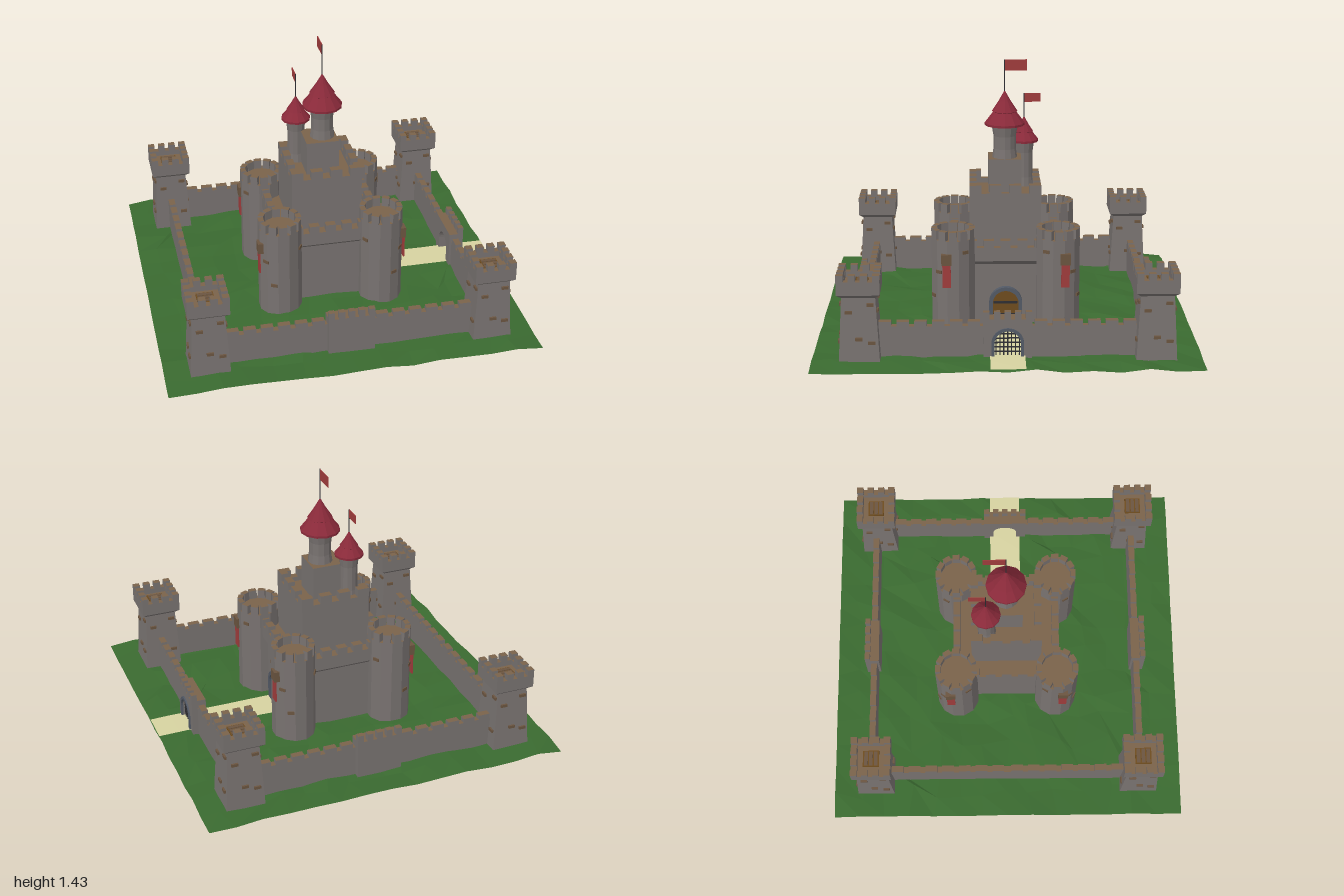
import * as THREE from 'three';

const mat = (color, extra = {}) => new THREE.MeshStandardMaterial({ color, flatShading: true, ...extra });
const stone = mat(0x787270), cap = mat(0x7a624a), brick = mat(0x6b5540), wood = mat(0x6e4c1e);
const trim = mat(0x535a66), iron = mat(0x2e2e33);
const grass = mat(0x3a6a30, { side: THREE.DoubleSide }), sand = mat(0xd6d2a0, { side: THREE.DoubleSide });
const roofRed = mat(0x8a2a3a, { side: THREE.DoubleSide }), cloth = mat(0xa03c3c, { side: THREE.DoubleSide });
const boxStone = [stone, stone, cap, stone, stone, stone];
const drumStone = [stone, cap, stone];

function add(parent, name, geometry, material, x = 0, y = 0, z = 0) {
  const m = new THREE.Mesh(geometry, material);
  m.name = name;
  m.position.set(x, y, z);
  parent.add(m);
  return m;
}

function group(parent, name, x = 0, z = 0) {
  const g = new THREE.Group();
  g.name = name;
  g.position.set(x, 0, z);
  parent.add(g);
  return g;
}

// Box spanning y0..y1, brown on top when made of stone
function block(parent, name, w, d, y0, y1, x = 0, z = 0, material = boxStone) {
  return add(parent, name, new THREE.BoxGeometry(w, y1 - y0, d), material, x, (y0 + y1) / 2, z);
}

// Drum or, with 4 sides, a tapering square shaft
function drum(parent, name, rBottom, rTop, y0, y1, sides = 12, x = 0, z = 0) {
  const k = sides === 4 ? Math.SQRT2 : 1;
  const g = new THREE.CylinderGeometry(rTop * k, rBottom * k, y1 - y0, sides).rotateY(Math.PI / sides);
  return add(parent, name, g, drumStone, x, (y0 + y1) / 2, z);
}

// Square parapet: four low walls with n merlons a side
function parapet(parent, half, t, y0, y1, y2, n, fill) {
  for (let s = 0; s < 4; s++) {
    const side = group(parent, 'parapet');
    side.rotation.y = s * Math.PI / 2;
    block(side, 'parapetWall', 2 * half - t, t, y0, y1, -t / 2, half - t / 2);
    const w = 2 * half / (n - 1 + fill) * fill;
    const step = (2 * half - w) / (n - 1);
    for (let i = 0; i < n; i++) {
      block(side, 'merlon', w, t, y1, y2, -half + w / 2 + i * step, half - t / 2);
    }
  }
}

// Straight row of merlons along x
function merlonRow(parent, x0, x1, z, t, y0, y1, n, fill) {
  const w = (x1 - x0) / (n - 1 + fill) * fill, step = (x1 - x0 - w) / (n - 1);
  for (let i = 0; i < n; i++) block(parent, 'merlon', w, t, y0, y1, x0 + w / 2 + i * step, z);
}

// Uneven ground sheet
function sheet(w, d, nx, nz, y, amp) {
  const g = new THREE.PlaneGeometry(w, d, nx, nz).rotateX(-Math.PI / 2);
  const p = g.attributes.position;
  let seed = 7;
  const rnd = () => (seed = (seed * 16807) % 2147483647) / 2147483647;
  for (let i = 0; i < p.count; i++) {
    const x = p.getX(i), z = p.getZ(i);
    p.setY(i, y + (rnd() - 0.5) * amp);
    if (nx > 8 && Math.abs(x) < w / 2 - 0.01 && Math.abs(z) < d / 2 - 0.01) {
      p.setX(i, x + (rnd() - 0.5) * 0.1);
      p.setZ(i, z + (rnd() - 0.5) * 0.1);
    }
  }
  return g;
}

function archShape(r, spring, T = THREE.Shape) {
  const s = new T();
  s.moveTo(-r, 0);
  s.lineTo(r, 0);
  s.lineTo(r, spring);
  s.absarc(0, spring, r, 0, Math.PI, false);
  s.lineTo(-r, 0);
  return s;
}

// Arched stone frame lying in the local xy plane
function archTrim(parent, r, spring, width, depth, y, z) {
  const s = archShape(r + width, spring);
  s.holes.push(archShape(r, spring, THREE.Path));
  add(parent, 'archTrim', new THREE.ExtrudeGeometry(s, { depth, bevelEnabled: false, curveSegments: 8 }), trim, 0, y, z);
}

function cornerTower(parent, x, z) {
  const t = group(parent, 'cornerTower', x, z);
  drum(t, 'shaft', 0.105, 0.085, 0.01, 0.375, 4);
  drum(t, 'corbel', 0.086, 0.11, 0.355, 0.375, 4);
  block(t, 'towerHead', 0.22, 0.22, 0.375, 0.415);
  parapet(t, 0.11, 0.035, 0.415, 0.445, 0.48, 4, 0.6);
  block(t, 'hatch', 0.09, 0.09, 0.415, 0.424, 0, 0, wood);
  for (let i = -1; i <= 1; i++) block(t, 'hatchPlank', 0.08, 0.02, 0.424, 0.428, 0, i * 0.027, brick);
  // Odd stones standing proud of each face
  for (let s = 0; s < 4; s++) {
    const face = group(t, 'faceStones');
    face.rotation.y = s * Math.PI / 2;
    for (const [u, y] of [[0.06, 0.32], [-0.05, 0.28], [0.0, 0.14], [0.065, 0.12]]) {
      block(face, 'proudStone', 0.036, 0.02, y - 0.008, y + 0.008, u, 0.105 - 0.02 * y / 0.375, brick);
    }
  }
}

// Curtain wall running along local x
function curtainWall(parent, name, x, z, turn, middle) {
  const w = group(parent, name, x, z);
  w.rotation.y = turn;
  const inner = middle ? 0.12 : 0;
  for (const s of [-1, 1]) {
    block(w, 'wall', 0.69 - inner, 0.035, 0.005, 0.18, s * (0.69 + inner) / 2, 0);
    const a = inner + 0.02, b = 0.66;
    merlonRow(w, s < 0 ? -b : a, s < 0 ? -a : b, 0, 0.035, 0.18, 0.205, middle ? 6 : 7, 0.7);
  }
  if (middle === 'bastion') block(w, 'bastion', 0.25, 0.08, 0.005, 0.225, 0, 0.01);
  if (middle === 'gate') {
    const s = new THREE.Shape([[-0.125, 0], [0.125, 0], [0.125, 0.21], [-0.125, 0.21]].map(p => new THREE.Vector2(...p)));
    s.holes.push(archShape(0.07, 0.085, THREE.Path));
    add(w, 'gatehouse', new THREE.ExtrudeGeometry(s, { depth: 0.08, bevelEnabled: false, curveSegments: 8 }), stone, 0, 0.01, -0.03);
    block(w, 'gateTop', 0.25, 0.08, 0.22, 0.226, 0, 0.01);
    archTrim(w, 0.068, 0.085, 0.016, 0.012, 0.01, 0.046);
    for (let i = -3; i <= 3; i++) {
      const top = 0.095 + Math.sqrt(0.07 ** 2 - (i * 0.02) ** 2);
      block(w, 'portcullisBar', 0.006, 0.006, 0.02, top, i * 0.02, 0.035, iron);
    }
    for (let j = 0; j < 5; j++) block(w, 'portcullisRail', j < 4 ? 0.138 : 0.1, 0.006, 0.045 + j * 0.024, 0.051 + j * 0.024, 0, 0.035, iron);
  }
  if (middle) merlonRow(w, -0.125, 0.125, 0.035, 0.03, 0.225, 0.265, 5, 0.6);
}

function keepTower(parent, sx, sz) {
  const t = group(parent, 'keepTower', sx * 0.283, sz * 0.283);
  drum(t, 'drum', 0.12, 0.12, 0.01, 0.515);
  for (let i = 0; i < 12; i++) {
    const a = i * Math.PI / 6;
    const m = block(t, 'merlon', 0.042, 0.03, 0.515, 0.565, Math.sin(a) * 0.102, Math.cos(a) * 0.102);
    m.rotation.y = a;
  }
  // Banner hanging from a timber bracket
  block(t, 'bannerBracket', 0.03, 0.055, 0.385, 0.445, sx * 0.115, sz * 0.035, brick);
  block(t, 'banner', 0.008, 0.045, 0.26, 0.385, sx * 0.121, sz * 0.035, cloth);
  for (const [a, y] of [[-0.6, 0.45], [0.7, 0.34], [2.6, 0.4], [-2, 0.3], [1.1, 0.2]]) {
    const m = block(t, 'proudStone', 0.036, 0.02, y - 0.009, y + 0.009, sx * Math.cos(a) * 0.112, sz * Math.sin(a) * 0.112, brick);
    m.rotation.y = Math.atan2(sx * Math.cos(a), sz * Math.sin(a));
  }
}

// Round turret with flared cone roof, pole and flag
function turret(parent, name, x, z, r, y0, eave, top, roofR, poleTop, flagW, flagH) {
  const t = group(parent, name, x, z);
  const pts = [[r, y0], [r * 0.88, y0 + 0.06], [r * 0.88, eave - 0.06], [r * 1.05, eave + 0.01]];
  add(t, 'turretShaft', new THREE.LatheGeometry(pts.map(p => new THREE.Vector2(...p)), 12), mat(0x787270, { side: THREE.DoubleSide }));
  const h = top - eave;
  const roof = [[0.001, eave + 0.01], [roofR, eave], [roofR, eave + 0.012], [roofR * 0.58, eave + h * 0.38],
    [roofR * 0.64, eave + h * 0.4], [roofR * 0.3, eave + h * 0.7], [0.001, top]];
  add(t, 'roof', new THREE.LatheGeometry(roof.map(p => new THREE.Vector2(...p)), 12), roofRed);
  add(t, 'flagPole', new THREE.CylinderGeometry(0.003, 0.003, poleTop - top + 0.02, 6), iron, 0, (poleTop + top - 0.02) / 2, 0);
  block(t, 'flag', 0.004, flagW, poleTop - flagH, poleTop, 0, -flagW / 2, cloth);
}

export function createModel() {
  const root = new THREE.Group();
  root.name = 'castle';
  add(root, 'ground', sheet(2, 2, 14, 14, 0.015, 0.022), grass);
  add(root, 'path', sheet(0.7, 0.18, 6, 1, 0.028, 0.004), sand, 0.65, 0, 0);

  // Outer ward
  for (const x of [-0.76, 0.76]) for (const z of [-0.76, 0.755]) cornerTower(root, x, z);
  curtainWall(root, 'frontWall', 0, 0.76, 0, 'bastion');
  curtainWall(root, 'backWall', 0, -0.775, Math.PI, 'bastion');
  curtainWall(root, 'gateWall', 0.767, 0, Math.PI / 2, 'gate');
  curtainWall(root, 'rightWall', -0.767, 0, -Math.PI / 2, null);

  // Keep
  const keep = group(root, 'keep');
  block(keep, 'keepBody', 0.54, 0.54, 0.01, 0.37);
  drum(keep, 'keepCorbel', 0.27, 0.3, 0.35, 0.375, 4);
  block(keep, 'keepRoof', 0.6, 0.6, 0.375, 0.42);
  parapet(keep, 0.3, 0.04, 0.42, 0.45, 0.49, 7, 0.6);
  for (const sx of [-1, 1]) for (const sz of [-1, 1]) keepTower(keep, sx, sz);
  block(keep, 'greatTower', 0.39, 0.39, 0.4, 0.7);
  parapet(keep, 0.195, 0.04, 0.7, 0.725, 0.77, 4, 0.6);
  block(keep, 'upperTower', 0.18, 0.18, 0.69, 0.89);
  turret(keep, 'tallTurret', 0.015, 0, 0.07, 0.88, 1.07, 1.26, 0.11, 1.43, 0.12, 0.06);
  turret(keep, 'smallTurret', -0.11, -0.11, 0.055, 0.69, 0.95, 1.09, 0.08, 1.22, 0.09, 0.048);

  // Keep door
  const door = group(keep, 'keepDoor', 0.27, 0);
  door.rotation.y = Math.PI / 2;
  add(door, 'doorLeaf', new THREE.ExtrudeGeometry(archShape(0.07, 0.12), { depth: 0.012, bevelEnabled: false, curveSegments: 8 }), wood, 0, 0.015, 0);
  archTrim(door, 0.07, 0.12, 0.02, 0.03, 0.015, 0);
  for (const y of [0.06, 0.13]) block(door, 'doorStrap', 0.13, 0.006, y, y + 0.012, 0, 0.013, iron);
  return root;
}
